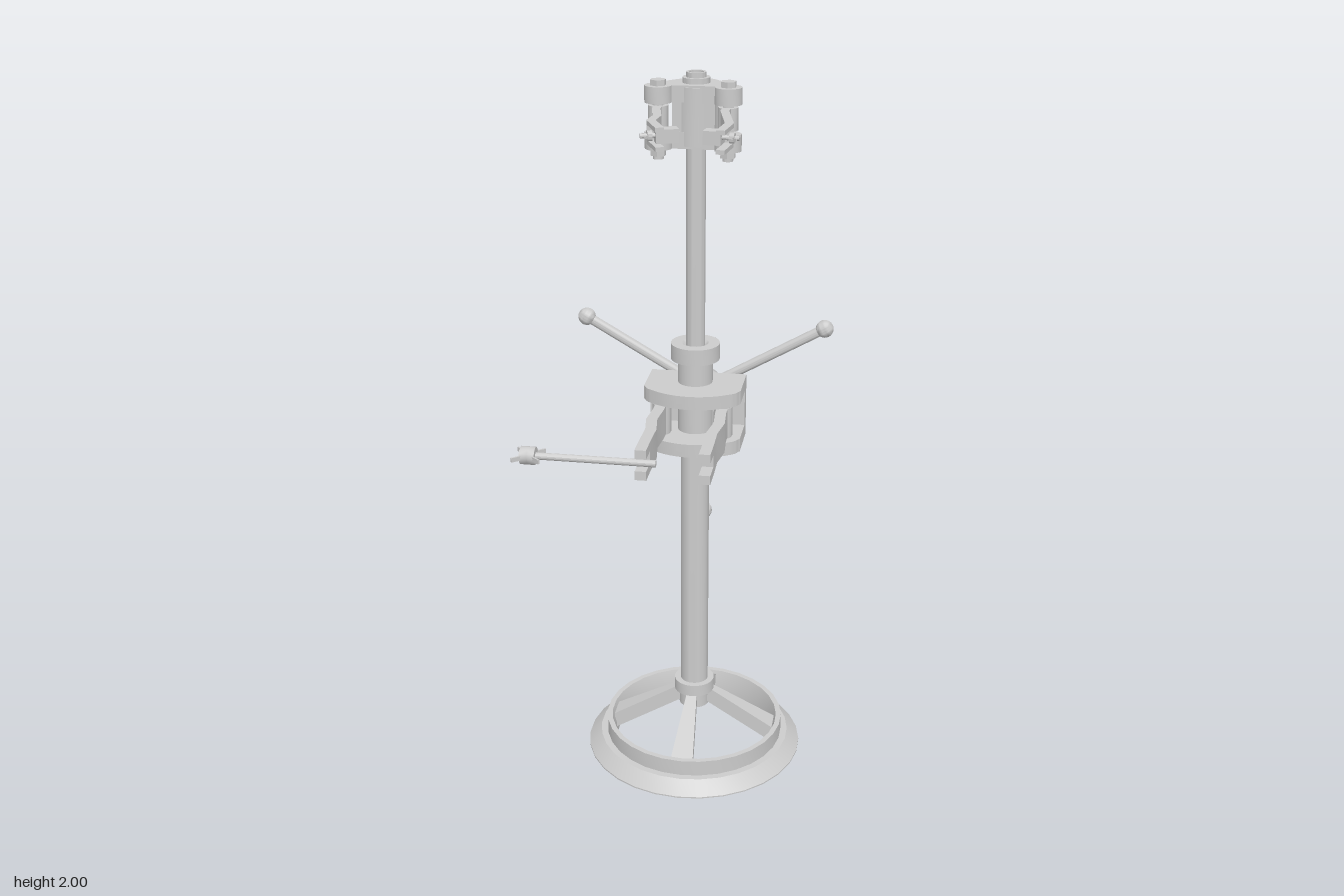
import * as THREE from 'three';
import { toCreasedNormals } from 'three/addons/utils/BufferGeometryUtils.js';

const AX = 0.025, AZ = -0.043; // column axis
const mat = new THREE.MeshStandardMaterial({ color: 0xcccccc, side: THREE.DoubleSide });

function add(parent, name, geo, x = 0, y = 0, z = 0) {
  const m = new THREE.Mesh(toCreasedNormals(geo, 0.6), mat);
  m.name = name;
  m.position.set(x, y, z);
  parent.add(m);
  return m;
}
const cyl = (r, h, n = 24, r2 = r) => new THREE.CylinderGeometry(r2, r, h, n);
const box = (w, h, d) => new THREE.BoxGeometry(w, h, d);
const lathe = (pts, n = 32) => new THREE.LatheGeometry(pts.map(p => new THREE.Vector2(...p)), n);

// plan outline of [x, z] corners raised from y0 to y1
function slab(pts, y0, y1) {
  const shape = new THREE.Shape(pts.map(([x, z]) => new THREE.Vector2(x, -z)));
  const g = new THREE.ExtrudeGeometry(shape, { depth: y1 - y0, bevelEnabled: false });
  return g.rotateX(-Math.PI / 2).translate(0, y0, 0);
}
// points along an arc in plan; angle 0 is +x, 90 degrees is +z
function arc(cx, cz, r, a0, a1, n = 10) {
  return Array.from({ length: n + 1 }, (_, i) => {
    const a = (a0 + (a1 - a0) * i / n) * Math.PI / 180;
    return [cx + r * Math.cos(a), cz + r * Math.sin(a)];
  });
}
// bar of constant width following a plan path
function ribbon(path, w, y0, y1) {
  const side = s => path.map(([x, z], i) => {
    const a = path[Math.max(i - 1, 0)], b = path[Math.min(i + 1, path.length - 1)];
    const dx = b[0] - a[0], dz = b[1] - a[1], l = Math.hypot(dx, dz);
    return [x + s * w / 2 * dz / l, z - s * w / 2 * dx / l];
  });
  return slab([...side(1), ...side(-1).reverse()], y0, y1);
}
// arm whose last path segment is split into two tines
function forkArm(parent, name, path, w, y, h, slot) {
  const g = new THREE.Group();
  g.name = name;
  parent.add(g);
  add(g, 'armBar', ribbon(path.slice(0, -1), w, y - h / 2, y + h / 2));
  const end = path.slice(-2);
  add(g, 'upperTine', ribbon(end, w, y + slot / 2, y + h / 2));
  add(g, 'lowerTine', ribbon(end, w, y - h / 2, y - slot / 2));
  add(g, 'armKnuckle', cyl(0.026, h), path[0][0], y, path[0][1]);
}
// wing nut on the local x axis, wings flaring toward +x
function wingNut(parent, s, x, flip = 1) {
  const g = new THREE.Group();
  g.name = 'wingNut';
  add(g, 'nutBody', cyl(0.024 * s, 0.022 * s, 12).rotateZ(Math.PI / 2));
  for (const k of [-1, 1]) {
    const wing = add(g, 'wing', box(0.036 * s, 0.012 * s, 0.005 * s), 0.014 * s, 0, k * 0.026 * s);
    wing.rotation.y = -k * 0.7;
  }
  g.position.x = x;
  g.scale.x = flip;
  parent.add(g);
}

function makeBase(root) {
  const base = new THREE.Group();
  base.name = 'base';
  base.position.set(AX, 0, AZ);
  root.add(base);
  add(base, 'baseRing', lathe([[0.235, 0], [0.316, 0], [0.316, 0.004], [0.28, 0.04], [0.261, 0.04],
    [0.261, 0.087], [0.246, 0.087], [0.235, 0.045], [0.235, 0]], 30));
  // spokes widen and fall toward the ring
  for (let i = 0; i < 4; i++) {
    const g = box(1, 1, 1), p = g.attributes.position;
    for (let j = 0; j < p.count; j++) {
      const t = p.getX(j) + 0.5, r = 0.03 + 0.208 * t;
      p.setXYZ(j, r, 0.193 - 0.116 * t + (p.getY(j) - 0.5) * 0.05, p.getZ(j) * (0.026 + 0.038 * t));
    }
    add(base, 'spoke', g).rotation.y = i * Math.PI / 2;
  }
}

function makeColumn(root) {
  add(root, 'column', lathe([[0, 0.13], [0.044, 0.13], [0.044, 0.177], [0.058, 0.177], [0.058, 0.213],
    [0.04, 0.213], [0.04, 0.96], [0.048, 0.96], [0.048, 1.225], [0.067, 1.225], [0.067, 1.27],
    [0.036, 1.27], [0.026, 1.262], [0.026, 1.972], [0.036, 1.972], [0.036, 1.987], [0.026, 1.987],
    [0.026, 2], [0.019, 2], [0.019, 1.992], [0, 1.992]], 28), AX, 0, AZ);
}

function makeLowerHead(root) {
  const head = new THREE.Group();
  head.name = 'lowerHead';
  root.add(head);
  const outline = [[-0.108, -0.113], [0.158, -0.113], [0.158, 0.015],
    ...arc(0.116, 0.008, 0.04, 15, 60, 4), ...arc(AX, -0.1, 0.18, 57, 123, 12),
    ...arc(-0.066, 0.008, 0.04, 120, 165, 4), [-0.108, 0.015]];
  add(head, 'topPlate', slab(outline, 1.12, 1.158));
  add(head, 'bottomPlate', slab(outline, 0.98, 1.018));
  add(head, 'backWall', box(0.266, 0.11, 0.03), AX, 1.069, -0.098);
  for (const s of [-1, 1]) {
    const x = AX + s * 0.085;
    add(head, 'hingePin', cyl(0.016, 0.15, 16), x, 1.069, 0.008);
    for (const y of [1.03, 1.108]) add(head, 'hingeWasher', cyl(0.024, 0.018, 16), x, y, 0.008);
    const p = [[0, 0.008], [0, 0.06], [s * 0.006, 0.13], [-s * 0.004, 0.2], [-s * 0.002, 0.285], [-s * 0.002, 0.342]];
    forkArm(head, 'lowerArm', p.map(([a, z]) => [x + a, z]), 0.03, 1.067, 0.084, 0.034);
  }
  // long clamp rod through the right arm
  const rod = new THREE.Group();
  rod.name = 'clampRod';
  rod.position.set(0, 1.067, 0.325);
  head.add(rod);
  add(rod, 'rod', cyl(0.0095, 0.355, 16).rotateZ(Math.PI / 2), -0.198, 0, 0);
  wingNut(rod, 1, -0.348);
  wingNut(rod, 1, -0.366, -1);
}

function makeHandWheel(root) {
  const wheel = new THREE.Group();
  wheel.name = 'handWheel';
  wheel.position.set(AX, 1.074, 0);
  root.add(wheel);
  const hub = lathe([[0, 0.1], [0.074, 0.1], [0.074, 0.173], [0.066, 0.173], [0.052, 0.236],
    [0.046, 0.243], [0.034, 0.243], [0.03, 0.232], [0, 0.232]]);
  add(wheel, 'wheelHub', hub.rotateX(-Math.PI / 2));
  for (let i = 0; i < 3; i++) {
    const handle = new THREE.Group();
    handle.name = 'handle';
    handle.rotation.z = i * Math.PI * 2 / 3;
    wheel.add(handle);
    add(handle, 'handleRod', cyl(0.014, 0.35, 16), 0, -0.21, -0.211);
    add(handle, 'handleKnob', new THREE.SphereGeometry(0.025, 20, 14), 0, -0.391, -0.211);
  }
}

function makeUpperHead(root) {
  const head = new THREE.Group();
  head.name = 'upperHead';
  root.add(head);
  // rounded triangular plate with two ears
  const outline = [...arc(AX, AZ, 0.062, 218, 322, 12), ...arc(AX + 0.09, 0.01, 0.035, -38, 180, 14),
    ...arc(AX - 0.09, 0.01, 0.035, 0, 218, 14)];
  add(head, 'topPlate', slab(outline, 1.93, 1.973));
  add(head, 'bottomPlate', slab(outline, 1.812, 1.855));
  add(head, 'headCore', cyl(0.058, 0.15, 28), AX, 1.893, AZ);
  add(head, 'headFace', box(0.11, 0.16, 0.028), AX, 1.893, -0.008);
  const paths = {
    '-1': [[-0.065, 0.01], [-0.062, 0.055], [-0.045, 0.14], [-0.05, 0.195], [-0.014, 0.278]],
    '1': [[0.115, 0.01], [0.112, 0.055], [0.13, 0.14], [0.143, 0.2], [0.133, 0.286]],
  };
  for (const s of [-1, 1]) {
    const x = AX + s * 0.09;
    add(head, 'hingePin', cyl(0.014, 0.19, 16), x, 1.88, 0.01);
    add(head, 'pinHead', cyl(0.021, 0.015, 6), x, 1.98, 0.01);
    add(head, 'pinNut', cyl(0.021, 0.018, 6), x, 1.803, 0.01);
    forkArm(head, 'upperArm', paths[s], 0.022, 1.894, 0.058, 0.036);
    // clamp block and wing screw through the fork
    const clamp = new THREE.Group();
    clamp.name = 'clamp';
    clamp.position.set(s < 0 ? -0.007 : 0.108, 1.894, s < 0 ? 0.224 : 0.227);
    clamp.rotation.y = s < 0 ? Math.PI + 0.35 : -0.1;
    head.add(clamp);
    add(clamp, 'clampBlock', box(s < 0 ? 0.056 : 0.044, 0.034, 0.034));
    add(clamp, 'clampScrew', cyl(0.006, 0.07, 12).rotateZ(Math.PI / 2), 0.03, 0, 0);
    wingNut(clamp, 0.55, s < 0 ? 0.042 : 0.047);
  }
}

export function createModel() {
  const root = new THREE.Group();
  root.name = 'clampStand';
  makeBase(root);
  makeColumn(root);
  makeLowerHead(root);
  makeHandWheel(root);
  makeUpperHead(root);
  return root;
}
